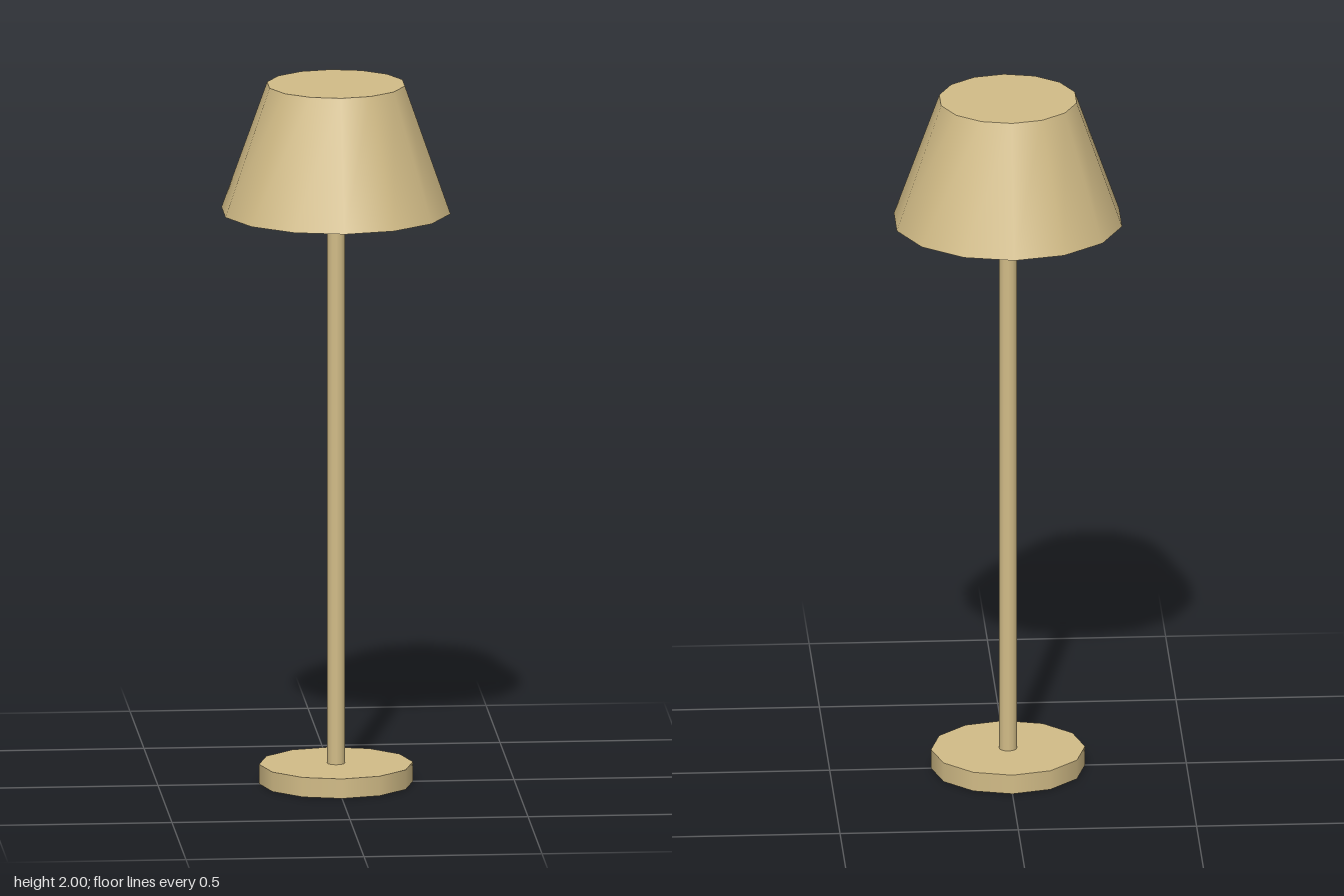
import * as THREE from 'three';

export function createModel() {
  const group = new THREE.Group();
  const tan = new THREE.MeshStandardMaterial({ color: 0xd2bc87 });
  tan.name = 'warm tan';

  // Upright capped cylinder spanning y0 to y1
  function addRound(name, rTop, rBottom, y0, y1, sides) {
    const mesh = new THREE.Mesh(new THREE.CylinderGeometry(rTop, rBottom, y1 - y0, sides), tan);
    mesh.name = name;
    mesh.position.y = (y0 + y1) / 2;
    group.add(mesh);
  }

  addRound('base', 0.216, 0.216, 0, 0.056, 12);
  addRound('pole', 0.025, 0.025, 0.05, 1.65, 12);
  addRound('collar', 0.035, 0.035, 1.632, 1.65, 12);
  addRound('lampshade', 0.195, 0.324, 1.638, 2, 14);

  return group;
}
